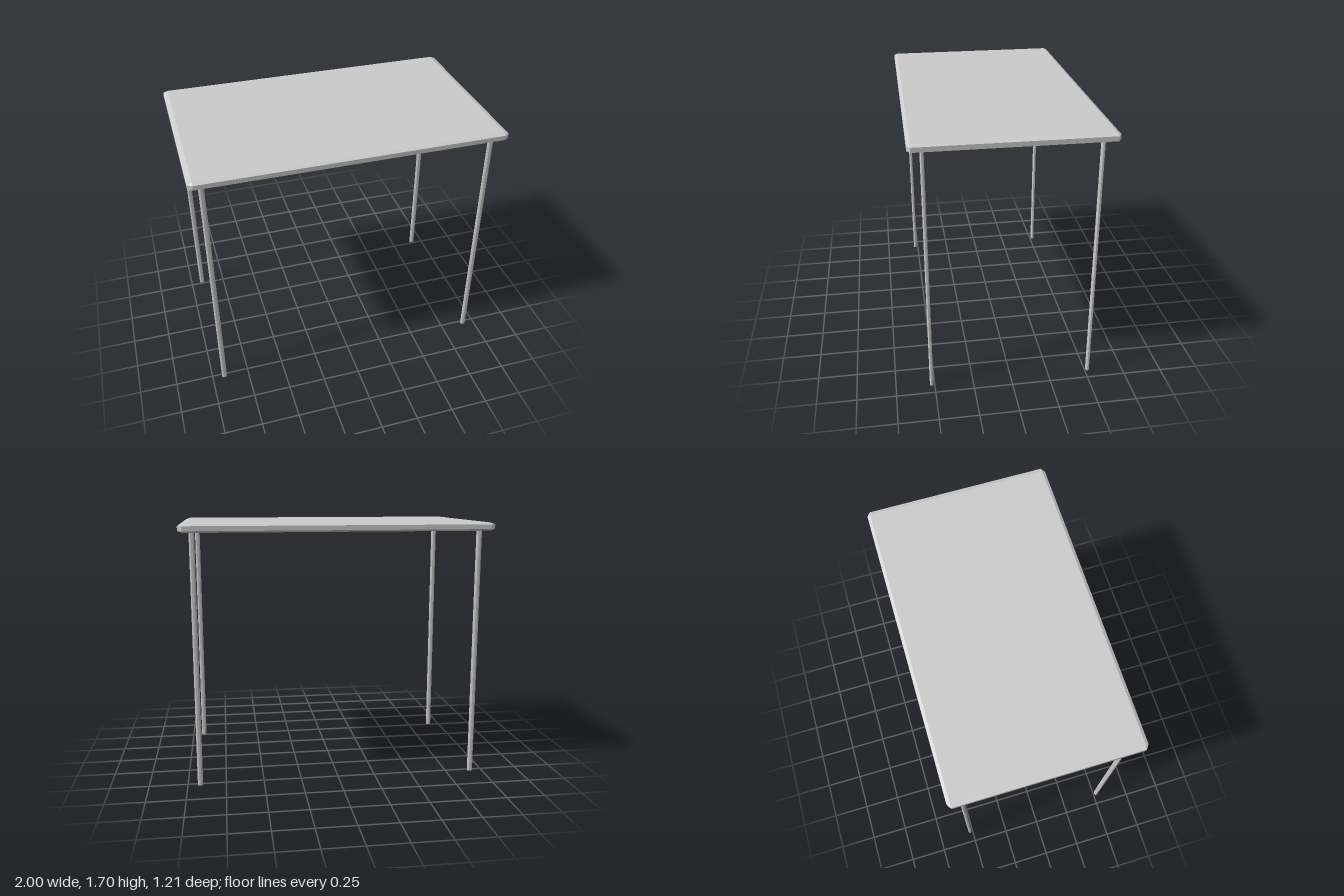
import * as THREE from 'three';
import { ConvexGeometry } from 'three/addons/geometries/ConvexGeometry.js';

const material = new THREE.MeshStandardMaterial({ color: 0xcccccc, flatShading: true });

// Box with half sizes (x, y, z) and chamfers (bx, by, bz) on every edge
function chamferedBox(x, y, z, bx, by, bz) {
  const points = [];
  for (const i of [-1, 1]) for (const j of [-1, 1]) for (const k of [-1, 1]) {
    points.push(
      new THREE.Vector3(i * x, j * (y - by), k * (z - bz)),
      new THREE.Vector3(i * (x - bx), j * y, k * (z - bz)),
      new THREE.Vector3(i * (x - bx), j * (y - by), k * z)
    );
  }
  return new ConvexGeometry(points);
}

export function createModel() {
  const table = new THREE.Group();
  table.name = 'table';

  // Tabletop slab
  const top = new THREE.Mesh(chamferedBox(1, 0.026, 0.605, 0.03, 0.011, 0.02), material);
  top.name = 'tabletop';
  top.position.y = 1.671;
  table.add(top);

  // Four thin eight-sided legs, slightly wider across x than z
  const height = 1.65;
  const legGeometry = new THREE.CylinderGeometry(1, 1, height, 8);
  legGeometry.rotateY(Math.PI / 8);
  legGeometry.scale(0.0185, 1, 0.0125);
  for (const sx of [-1, 1]) for (const sz of [-1, 1]) {
    const leg = new THREE.Mesh(legGeometry, material);
    leg.name = (sz > 0 ? 'front' : 'back') + (sx > 0 ? 'Left' : 'Right') + 'Leg';
    leg.position.set(sx * 0.918, height / 2, sz * 0.52);
    table.add(leg);
  }
  return table;
}
